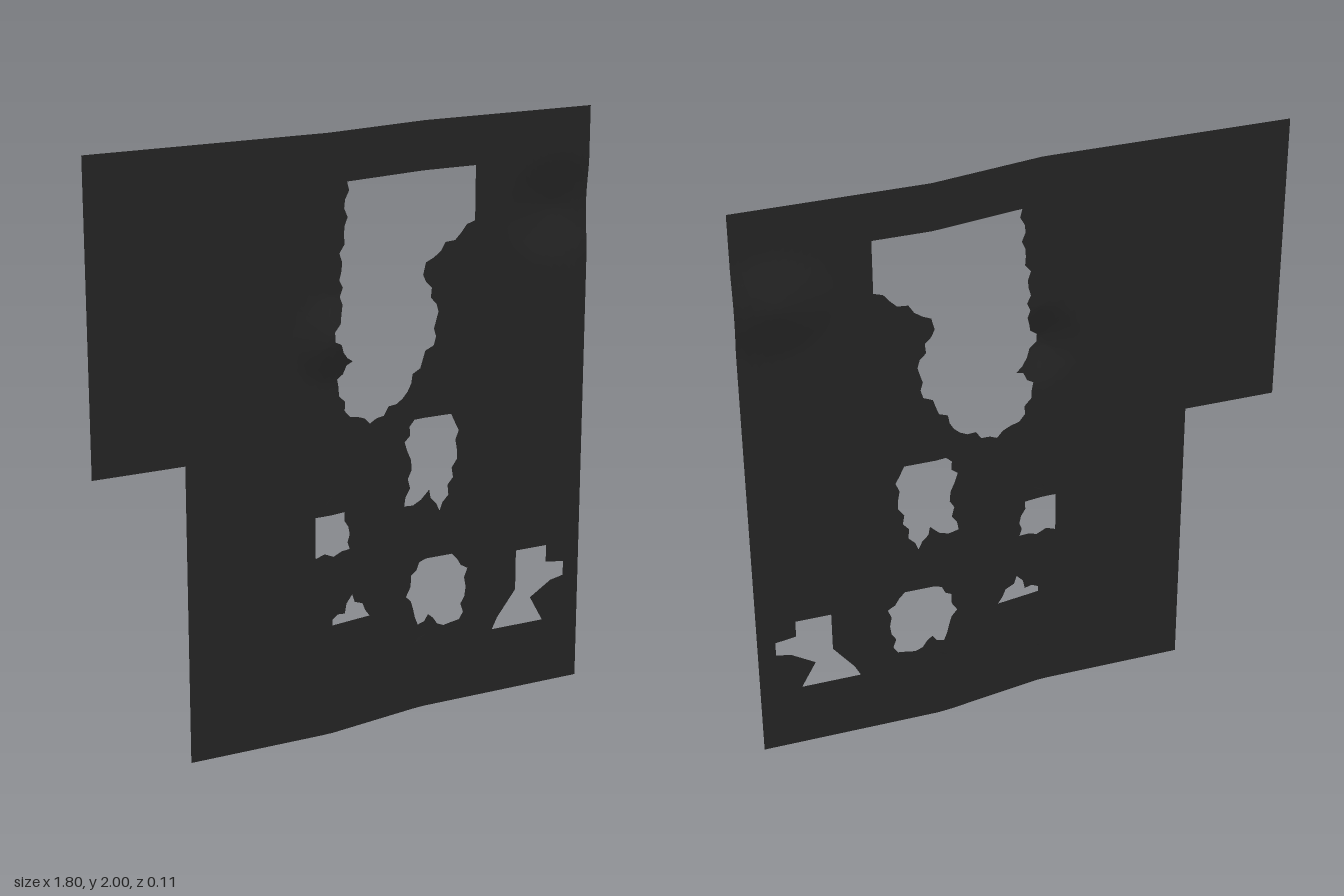
import * as THREE from 'three';
import { mergeVertices } from 'three/addons/utils/BufferGeometryUtils.js';

const points = (a) => {
  const out = [];
  for (let i = 0; i < a.length; i += 2) out.push(new THREE.Vector2(a[i], a[i + 1]));
  return out;
};

// Opening from its main corners: the first few edges stay straight, the others become ragged
function opening(straightEdges, corners) {
  const p = points(corners);
  const out = [];
  p.forEach((a, i) => {
    const b = p[(i + 1) % p.length];
    const edge = b.clone().sub(a);
    const normal = new THREE.Vector2(-edge.y, edge.x).normalize();
    const steps = i < straightEdges ? 1 : Math.max(1, Math.round(edge.length() / 0.03));
    for (let k = 0; k < steps; k++) {
      const wobble = k === 0 ? 0 : 0.01 * Math.sin(k * 2.2 + i);
      out.push(a.clone().addScaledVector(edge, k / steps).addScaledVector(normal, wobble));
    }
  });
  return new THREE.Path(out);
}

// Pyramid-like bump, 1 at its centre and 0 at its rim
const bump = (x, y, cx, cy, rx, ry) =>
  Math.max(0, 1 - Math.hypot((x - cx) / rx, (y - cy) / ry));

// Depth of the sheet: two level halves joined by a gentle slope, plus two dents
function depth(x, y) {
  const t = THREE.MathUtils.clamp((x + 0.09) / 0.37, 0, 1);
  return 0.03 - 0.06 * t
    + 0.03 * bump(x, y, -0.09, 1.34, 0.13, 0.14)
    - 0.03 * bump(x, y, 0.78, 1.67, 0.2, 0.17);
}

// Halve the longest edge of each triangle until every edge is short
function subdivide(geometry, maxEdge) {
  const p = geometry.toNonIndexed().getAttribute('position');
  const stack = [];
  const out = [];
  for (let i = 0; i < p.count; i += 3) {
    stack.push([0, 1, 2].map((k) => new THREE.Vector3().fromBufferAttribute(p, i + k)));
  }
  while (stack.length) {
    let [a, b, c] = stack.pop();
    const ab = a.distanceTo(b), bc = b.distanceTo(c), ca = c.distanceTo(a);
    if (Math.max(ab, bc, ca) <= maxEdge) {
      out.push(a, b, c);
      continue;
    }
    if (bc >= ab && bc >= ca) [a, b, c] = [b, c, a];
    else if (ca >= ab) [a, b, c] = [c, a, b];
    const m = a.clone().add(b).multiplyScalar(0.5);
    stack.push([a, m, c], [m, b, c]);
  }
  return new THREE.BufferGeometry().setFromPoints(out);
}

export function createModel() {
  const charcoal = new THREE.MeshStandardMaterial({ color: 0x222222, side: THREE.DoubleSide });
  charcoal.name = 'charcoal';

  // Sheet outline with a notch at one lower corner
  const shape = new THREE.Shape(points([-0.9, 2, -0.9, 1, -0.59, 1, -0.59, 0, 0.9, 0, 0.9, 2]));

  // Tall opening
  shape.holes.push(opening(2, [-0.02, 1.84, 0.47, 1.84, 0.47, 1.66, 0.29, 1.54, 0.28, 1.5, 0.33, 1.4,
    0.33, 1.29, 0.2, 1.1, 0.07, 1.04, -0.03, 1.1, -0.06, 1.21, 0, 1.26, -0.08, 1.34, -0.04, 1.45,
    -0.05, 1.53, -0.03, 1.7]));
  // Middle opening
  shape.holes.push(opening(1, [0.25, 1.02, 0.39, 1.02, 0.42, 0.96, 0.4, 0.8, 0.35, 0.69, 0.31, 0.77,
    0.28, 0.74, 0.21, 0.73, 0.24, 0.85, 0.21, 0.95]));
  // Small square opening
  shape.holes.push(opening(2, [-0.14, 0.62, -0.14, 0.76, -0.03, 0.76, -0.01, 0.68, -0.01, 0.63]));
  // Small peaked opening
  shape.holes.push(opening(1, [-0.08, 0.38, 0.07, 0.38, 0, 0.47, -0.03, 0.41, -0.08, 0.4]));
  // Round opening
  shape.holes.push(opening(1, [0.3, 0.53, 0.4, 0.53, 0.46, 0.47, 0.45, 0.37, 0.43, 0.29, 0.37, 0.28,
    0.31, 0.33, 0.27, 0.3, 0.25, 0.36, 0.22, 0.41, 0.24, 0.48]));
  // Stepped opening
  shape.holes.push(opening(11, [0.56, 0.23, 0.76, 0.23, 0.71, 0.32, 0.79, 0.37, 0.84, 0.38, 0.84, 0.43,
    0.77, 0.44, 0.77, 0.5, 0.65, 0.5, 0.65, 0.36, 0.58, 0.27]));

  const flat = new THREE.ShapeGeometry(shape);
  flat.deleteAttribute('uv');
  flat.deleteAttribute('normal');

  // Bend the sheet
  const geometry = mergeVertices(subdivide(flat, 0.05), 1e-5);
  const pos = geometry.getAttribute('position');
  for (let i = 0; i < pos.count; i++) pos.setZ(i, depth(pos.getX(i), pos.getY(i)));
  geometry.computeVertexNormals();

  const sheet = new THREE.Mesh(geometry, charcoal);
  sheet.name = 'perforatedSheet';
  const group = new THREE.Group();
  group.name = 'wallSheet';
  group.add(sheet);
  return group;
}
